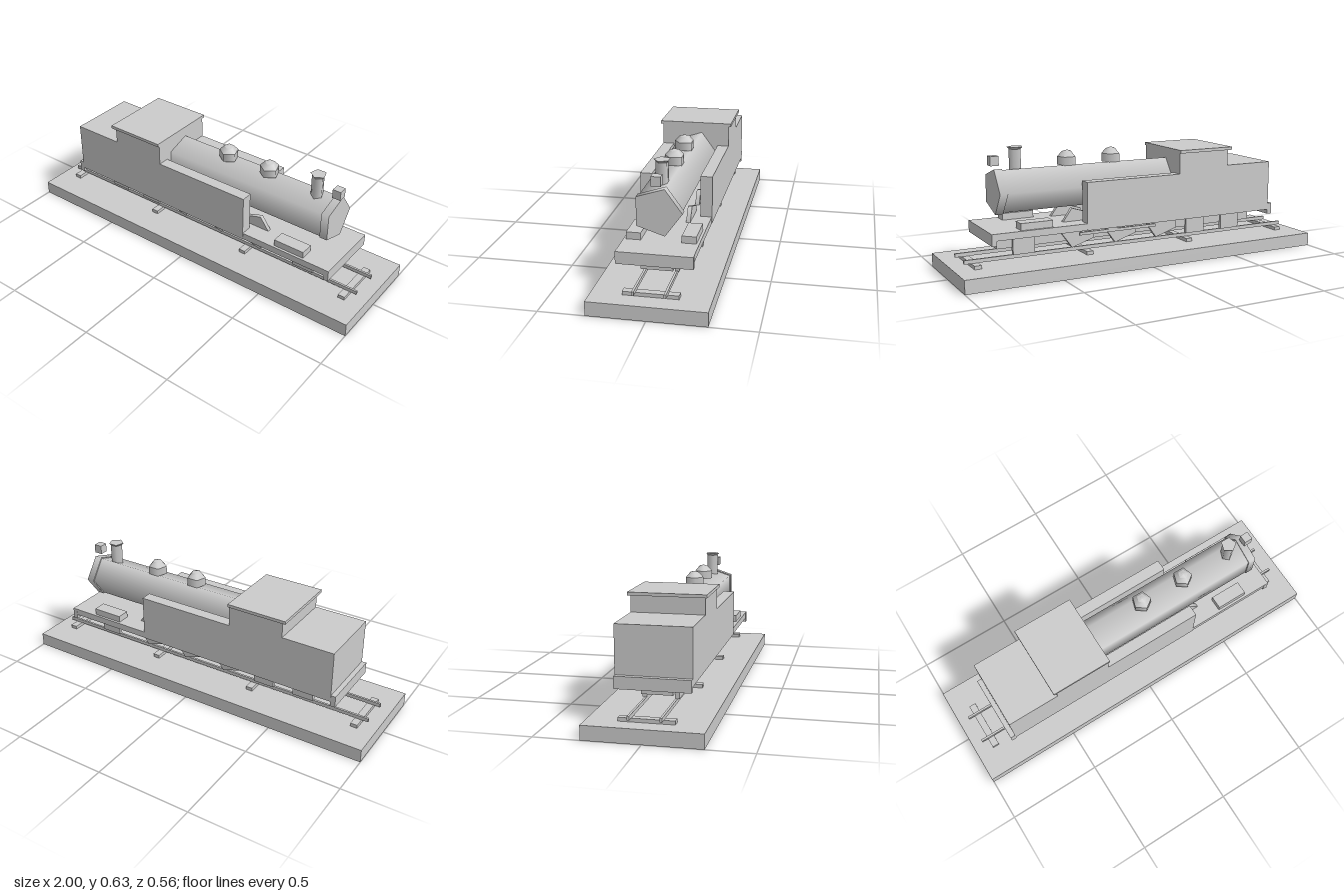
import * as THREE from 'three';

export function createModel() {
  const model = new THREE.Group();
  const grey = new THREE.MeshStandardMaterial({ color: 0xcccccc, side: THREE.DoubleSide });
  grey.name = 'plain grey';

  const add = (name, geometry, x = 0, y = 0, z = 0) => {
    const mesh = new THREE.Mesh(geometry, grey);
    mesh.name = name;
    mesh.position.set(x, y, z);
    model.add(mesh);
    return mesh;
  };
  // Box given by its lower and upper limits on each axis
  const box = (name, x0, x1, y0, y1, z0, z1) =>
    add(name, new THREE.BoxGeometry(x1 - x0, y1 - y0, z1 - z0), (x0 + x1) / 2, (y0 + y1) / 2, (z0 + z1) / 2);
  // Upright five-sided piece
  const drum = (name, rTop, rBottom, y0, y1, x) =>
    add(name, new THREE.CylinderGeometry(rTop, rBottom, y1 - y0, 5), x, (y0 + y1) / 2, 0);
  // Five-sided barrel lying along x
  const barrel = (name, r, x0, x1) =>
    add(name, new THREE.CylinderGeometry(r, r, x1 - x0, 5, 1, false, Math.PI).rotateZ(-Math.PI / 2), (x0 + x1) / 2, 0.419, 0);

  // Plinth, open underneath
  const plinth = new THREE.BoxGeometry(2, 0.07, 0.556);
  const index = Array.from(plinth.index.array);
  index.splice(18, 6);
  plinth.setIndex(index);
  plinth.clearGroups();
  add('plinth', plinth, 0, 0.035, 0);

  // Track
  for (const x of [-0.893, -0.3, 0.293, 0.886]) box('sleeper', x - 0.018, x + 0.018, 0.07, 0.088, -0.131, 0.131);
  for (const s of [-1, 1]) box('rail', -0.945, 0.94, 0.088, 0.107, s * 0.074 - 0.0055, s * 0.074 + 0.0055);

  // Underframe, footplate and end beams
  box('underframe', -0.72, 0.773, 0.143, 0.21, -0.076, 0.076);
  box('footplate', -0.785, 0.81, 0.21, 0.245, -0.18, 0.18);
  box('rearBeam', -0.807, -0.78, 0.185, 0.245, -0.181, 0.181);
  box('frontBeam', 0.805, 0.83, 0.185, 0.245, -0.181, 0.181);

  // Bunker and cab share one stepped outline
  const outline = new THREE.Shape([
    [-0.782, 0.21], [-0.205, 0.21], [-0.205, 0.566], [-0.505, 0.566], [-0.505, 0.481], [-0.782, 0.481],
  ].map(([x, y]) => new THREE.Vector2(x, y)));
  add('cabAndBunker', new THREE.ExtrudeGeometry(outline, { depth: 0.364, bevelEnabled: false }), 0, 0, -0.182);
  box('cabRoof', -0.525, -0.203, 0.565, 0.581, -0.194, 0.194);

  // Boiler and its fittings
  barrel('boiler', 0.112, -0.21, 0.725);
  barrel('smokebox', 0.1185, 0.72, 0.761);
  for (const x of [0.108, 0.358]) {
    drum('domeBase', 0.05, 0.05, 0.523, 0.566, x);
    drum('domeShoulder', 0.026, 0.05, 0.566, 0.592, x);
    drum('domeCap', 0.005, 0.026, 0.592, 0.598, x);
  }
  drum('chimney', 0.032, 0.032, 0.5, 0.621, 0.636);
  drum('chimneyRim', 0.041, 0.03, 0.62, 0.632, 0.636);
  box('headlamp', 0.73, 0.774, 0.546, 0.593, -0.022, 0.023);

  for (const s of [-1, 1]) {
    const side = (name, x0, x1, y0, y1, zIn, zOut) =>
      box(name, x0, x1, y0, y1, Math.min(s * zIn, s * zOut), Math.max(s * zIn, s * zOut));
    side('sideTank', -0.21, 0.33, 0.21, 0.455, 0.122, 0.182);
    side('toolBox', 0.51, 0.678, 0.245, 0.28, 0.097, 0.167);

    // Carrying wheels
    for (const x of [-0.588, -0.362, 0.635]) side('carryingWheel', x - 0.057, x + 0.057, 0.107, 0.215, 0.068, 0.089);

    // Driving wheels
    for (const x of [-0.15, 0.095, 0.34]) {
      const g = new THREE.CylinderGeometry(0.108, 0.108, 0.021, 5, 1, false, Math.PI / 2).rotateX(Math.PI / 2);
      add('drivingWheel', g, x, 0.21, s * 0.0785);
    }

    // Rods
    side('couplingRod', -0.1, 0.342, 0.172, 0.187, 0.107, 0.114);
    const rod = add('connectingRod', new THREE.BoxGeometry(0.31, 0.01, 0.007), 0.27, 0.21, s * 0.1105);
    rod.rotation.z = 0.18;
  }
  return model;
}
